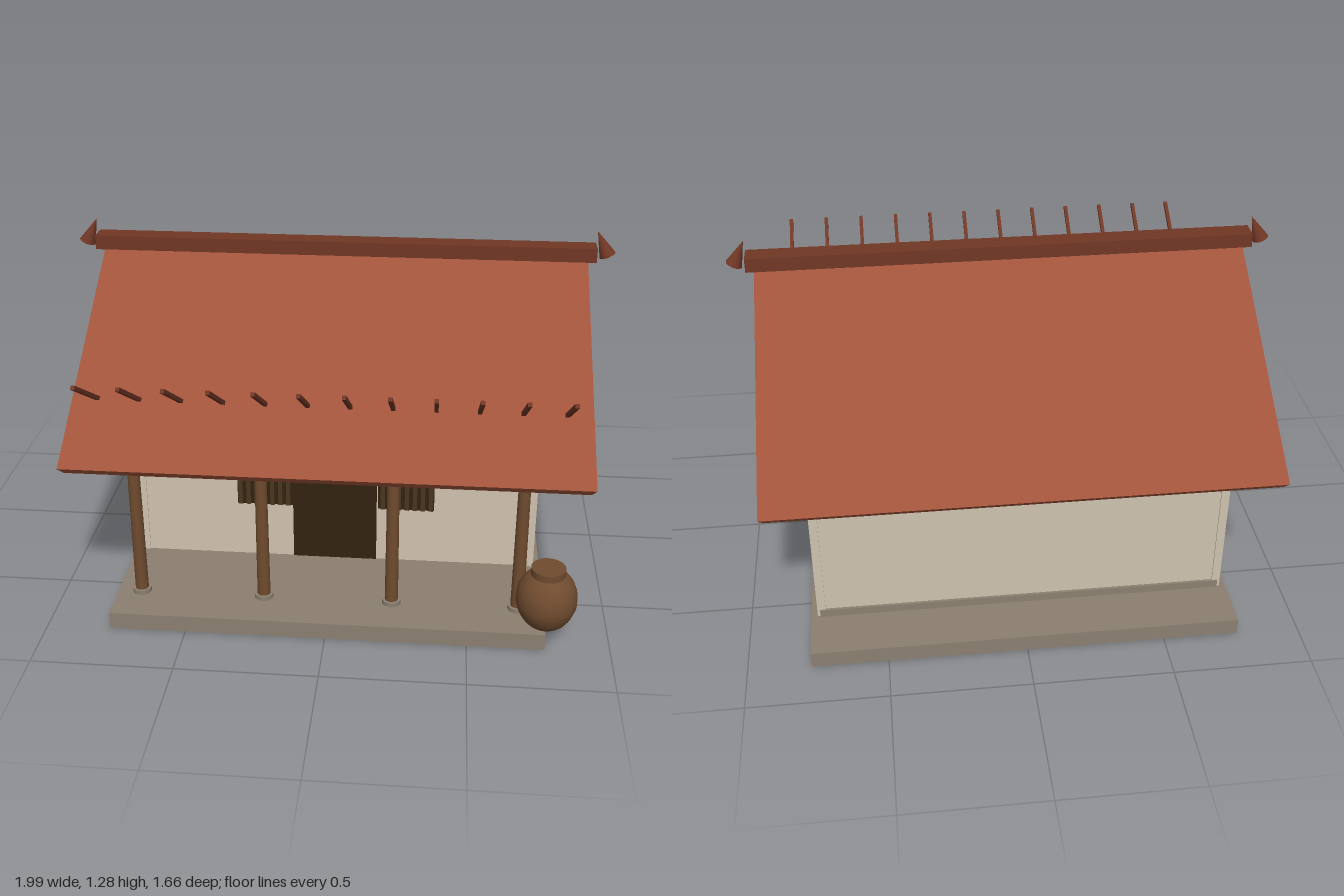
import * as THREE from 'three';

const mat = (name, color, extra = {}) => {
  const m = new THREE.MeshStandardMaterial({ color, ...extra });
  m.name = name;
  return m;
};

export function createModel() {
  const house = new THREE.Group();
  house.name = 'house';
  const tile = mat('terracotta', 0xa0533b, { side: THREE.DoubleSide });
  const ridgeRed = mat('darkTerracotta', 0x713725);
  const plaster = mat('plaster', 0xcfc3ae);
  const stone = mat('stone', 0x8b7f70);
  const wood = mat('wood', 0x6f4b2f);
  const dark = mat('darkWood', 0x32230f);
  const slatWood = mat('slatWood', 0x49351d);

  const add = (name, geo, material, x = 0, y = 0, z = 0) => {
    const m = new THREE.Mesh(geo, material);
    m.name = name;
    m.position.set(x, y, z);
    house.add(m);
    return m;
  };
  // box given by its limits on each axis
  const box = (name, material, x0, x1, y0, y1, z0, z1) =>
    add(name, new THREE.BoxGeometry(x1 - x0, y1 - y0, z1 - z0), material,
      (x0 + x1) / 2, (y0 + y1) / 2, (z0 + z1) / 2);

  // plinth and rooms
  box('plinth', stone, -0.773, 0.773, 0, 0.062, -0.83, 0.785);
  box('walls', plaster, -0.743, 0.743, 0.062, 0.655, -0.635, 0.345);
  box('backFooting', stone, -0.74, 0.74, 0.062, 0.092, -0.645, -0.61);
  for (const x of [-0.735, 0.735]) {
    for (const z of [-0.625, 0.335]) {
      box('cornerPost', plaster, x - 0.015, x + 0.015, 0.062, 0.655, z - 0.015, z + 0.015);
    }
  }

  // gable walls under the roof
  const gable = new THREE.Shape([[0.635, 0.65], [-0.345, 0.65], [0, 1.05]]
    .map(([a, b]) => new THREE.Vector2(a, b)));
  const gableGeo = new THREE.ExtrudeGeometry(gable, { depth: 0.03, bevelEnabled: false })
    .rotateY(Math.PI / 2);
  add('gableWall', gableGeo, plaster, 0.713);
  add('gableWall', gableGeo, plaster, -0.743);

  // door and slatted windows
  box('door', dark, -0.16, 0.155, 0.064, 0.56, 0.344, 0.352);
  for (const s of [-1, 1]) {
    box('window', dark, s * 0.265 - 0.105, s * 0.265 + 0.105, 0.285, 0.47, 0.344, 0.35);
    for (let i = 0; i < 7; i++) {
      const x = s * (0.178 + i * 0.03);
      box('windowSlat', slatWood, x - 0.008, x + 0.008, 0.285, 0.47, 0.348, 0.356);
    }
  }

  // veranda columns with round feet, and the beam they carry
  for (const x of [-0.687, -0.236, 0.228, 0.679]) {
    add('column', new THREE.CylinderGeometry(0.021, 0.024, 0.58, 16), wood, x, 0.352, 0.63);
    add('columnFoot', new THREE.CylinderGeometry(0.034, 0.034, 0.016, 16), stone, x, 0.07, 0.63);
  }
  box('verandaBeam', wood, -0.74, 0.74, 0.63, 0.665, 0.61, 0.65);

  // hollow gable roof with a chamfered lower rim
  const ring = (x, y, z) => [[-x, y, z], [x, y, z], [x, y, -z], [-x, y, -z]];
  const rim = ring(0.885, 0.626, 0.785);
  const eave = ring(0.9, 0.652, 0.808);
  const left = [0.9, 1.175, 0], right = [-0.9, 1.175, 0];
  const tris = [];
  const quad = (a, b, c, d) => tris.push(a, b, c, a, c, d);
  for (let i = 0; i < 4; i++) {
    const j = (i + 1) % 4;
    quad(rim[i], rim[j], eave[j], eave[i]);
  }
  quad(eave[0], eave[1], left, right);
  quad(eave[2], eave[3], right, left);
  tris.push(eave[1], eave[2], left, eave[3], eave[0], right);
  const roofGeo = new THREE.BufferGeometry();
  roofGeo.setAttribute('position', new THREE.Float32BufferAttribute(tris.flat(), 3));
  roofGeo.computeVertexNormals();
  add('roof', roofGeo, tile);

  // ridge beam and horn finials
  box('ridgeBeam', ridgeRed, -0.928, 0.928, 1.172, 1.225, -0.037, 0.04);
  for (const s of [-1, 1]) {
    const horn = add('finial', new THREE.ConeGeometry(0.031, 0.1, 10), ridgeRed, s * 0.948, 1.235, 0);
    horn.rotation.z = s * 0.43;
  }

  // sloping poles passing through the front roof
  const dz = 0.58, dy = 0.355;
  for (let i = 0; i < 12; i++) {
    const pole = add('roofPole', new THREE.BoxGeometry(0.014, 0.014, Math.hypot(dz, dy)),
      ridgeRed, -0.81 + i * 0.1472, 0.79, 0.54);
    pole.rotation.x = -Math.atan2(dy, dz);
  }

  // water jar
  const jarProfile = [[0, 0.056], [0.035, 0.06], [0.075, 0.09], [0.1, 0.135], [0.107, 0.175],
    [0.1, 0.22], [0.08, 0.255], [0.055, 0.275]].map(([r, y]) => new THREE.Vector2(r, y));
  const jarCurve = new THREE.SplineCurve(jarProfile).getPoints(20);
  jarCurve[0].x = 0;
  add('jarBody', new THREE.LatheGeometry(jarCurve, 24), wood, 0.772, 0, 0.722);
  add('jarNeck', new THREE.CylinderGeometry(0.06, 0.06, 0.026, 24), wood, 0.772, 0.286, 0.722);

  return house;
}
